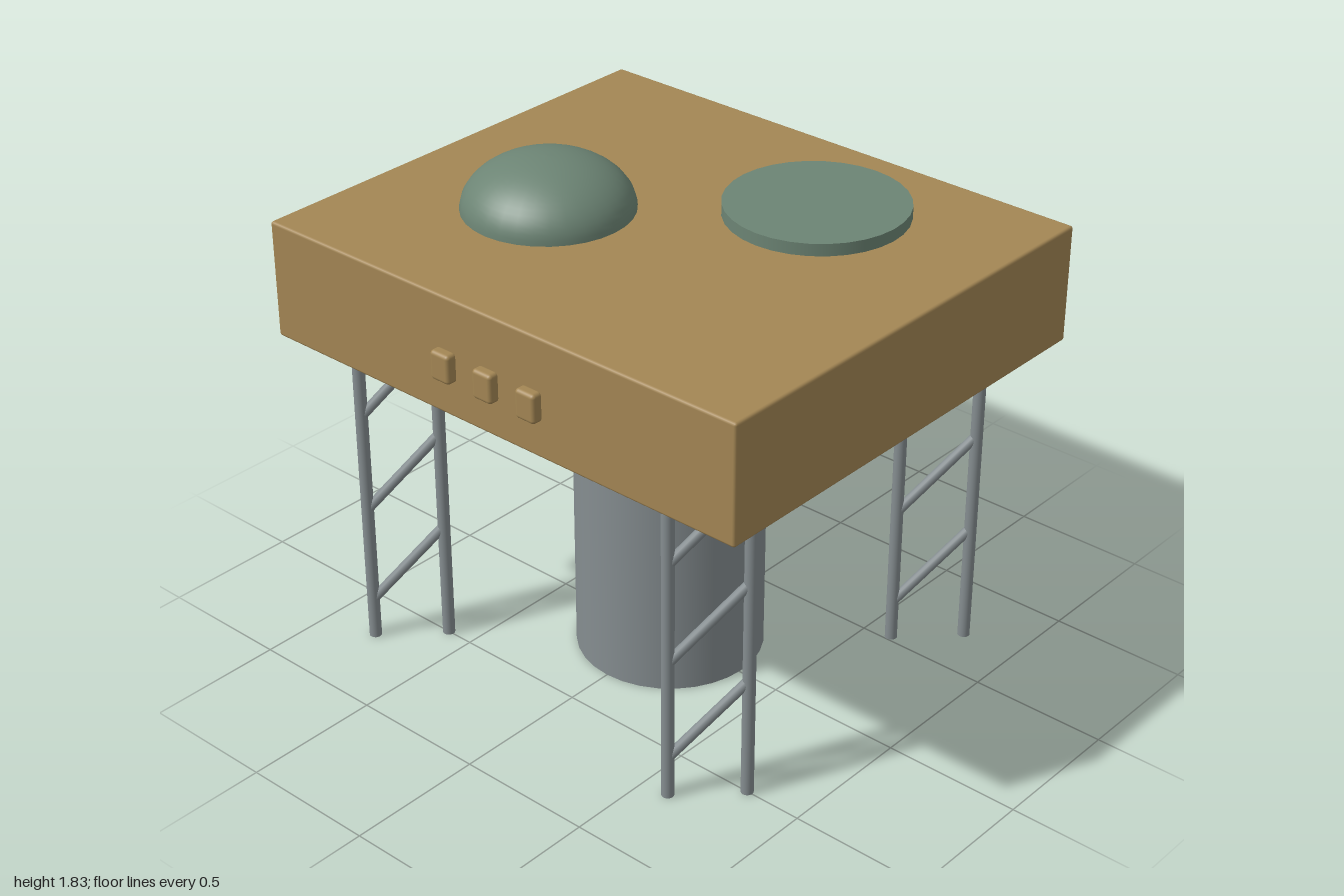
import * as THREE from 'three';
import { RoundedBoxGeometry } from 'three/addons/geometries/RoundedBoxGeometry.js';

function material(name, color) {
  const m = new THREE.MeshStandardMaterial({ color });
  m.name = name;
  return m;
}

export function createModel() {
  const tan = material('tan housing', 0xa38654);
  const green = material('grey green', 0x6c8474);
  const steel = material('steel grey', 0x858d90);

  const model = new THREE.Group();
  model.name = 'platform';

  function add(parent, name, geometry, mat, x, y, z) {
    const mesh = new THREE.Mesh(geometry, mat);
    mesh.name = name;
    mesh.position.set(x, y, z);
    parent.add(mesh);
    return mesh;
  }

  // Round rod between two points
  function rod(parent, name, from, to, radius) {
    const dir = to.clone().sub(from);
    const mid = from.clone().add(to).multiplyScalar(0.5);
    const mesh = add(parent, name, new THREE.CylinderGeometry(radius, radius, dir.length(), 16), steel, mid.x, mid.y, mid.z);
    mesh.quaternion.setFromUnitVectors(new THREE.Vector3(0, 1, 0), dir.normalize());
  }

  // Slab housing and central column
  const bottom = 1.205, top = 1.63;
  add(model, 'housing', new RoundedBoxGeometry(2, top - bottom, 1.716, 2, 0.01), tan, 0, (top + bottom) / 2, -0.018);
  add(model, 'column', new THREE.CylinderGeometry(0.335, 0.335, 1.21, 32), steel, 0, 0.605, -0.014);

  // Buttons on the front face
  for (const x of [-0.19, -0.004, 0.182]) {
    add(model, 'button', new RoundedBoxGeometry(0.083, 0.105, 0.046, 3, 0.014), tan, x, 1.39, 0.853);
  }

  // Dome: flattened half sphere, closed underneath, just clear of the housing
  const profile = [new THREE.Vector2(0, 0)];
  for (let i = 0; i <= 16; i++) {
    const a = (i / 16) * Math.PI / 2;
    profile.push(new THREE.Vector2(i === 16 ? 0 : 0.296 * Math.cos(a), 0.186 * Math.sin(a)));
  }
  const dome = new THREE.Group();
  dome.name = 'dome';
  dome.position.set(-0.375, 1.639, 0.171);
  model.add(dome);
  add(dome, 'domeShell', new THREE.LatheGeometry(profile.slice(1), 32), green, 0, 0, 0);
  add(dome, 'domeBase', new THREE.CircleGeometry(0.296, 32).rotateX(Math.PI / 2), green, 0, 0, 0);

  // Flat hatch disc
  add(model, 'hatch', new THREE.CylinderGeometry(0.316, 0.316, 0.044, 32), green, 0.322, 1.661, -0.378);

  // Four ladder legs, all turned the same way: two posts and three sloping braces
  const step = 0.185;
  for (const x of [-0.79, 0.603]) {
    for (const z of [0.684, -0.523]) {
      const leg = new THREE.Group();
      leg.name = 'ladderLeg';
      leg.position.set(x, 0, z);
      model.add(leg);
      for (const s of [0, step]) {
        rod(leg, 'post', new THREE.Vector3(s, 0, -s), new THREE.Vector3(s, 1.21, -s), 0.022);
      }
      for (let i = 0; i < 3; i++) {
        const y = 0.16 + i * 0.375;
        rod(leg, 'brace', new THREE.Vector3(0.005, y, -0.005), new THREE.Vector3(step - 0.005, y + 0.28, -step + 0.005), 0.018);
      }
    }
  }

  return model;
}
